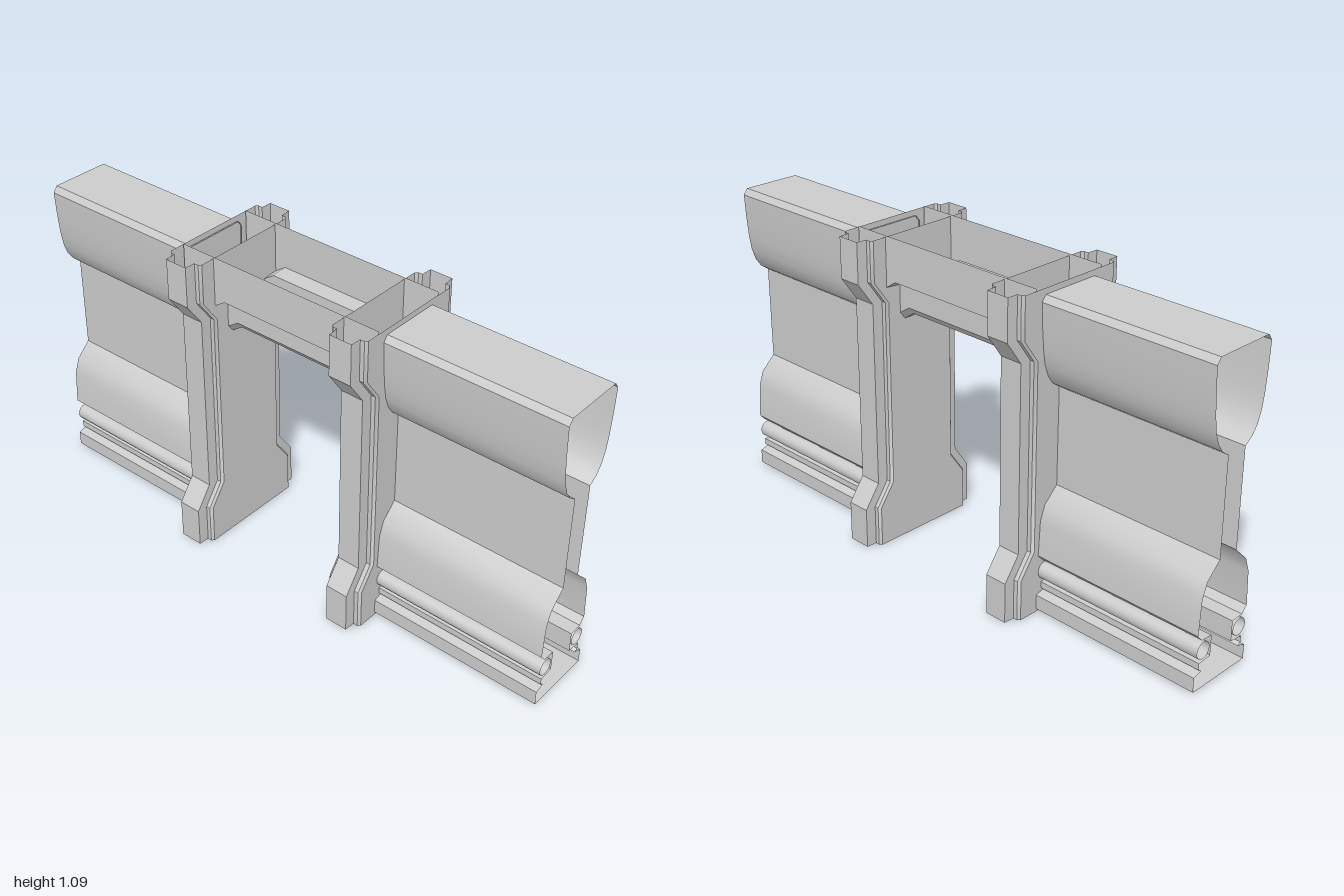
import * as THREE from 'three';
import { mergeVertices, toCreasedNormals } from 'three/addons/utils/BufferGeometryUtils.js';

const material = new THREE.MeshStandardMaterial({ color: 0xcccccc, side: THREE.DoubleSide });

// Skin a row of equal-length cross-sections, each a list of [x, y, z]
function loft(rings, closed) {
  const n = rings[0].length;
  const index = [];
  for (let r = 0; r < rings.length - 1; r++) {
    for (let i = 0; i < (closed ? n : n - 1); i++) {
      const j = (i + 1) % n;
      const a = r * n + i, b = r * n + j, c = b + n, d = a + n;
      index.push(a, b, c, a, c, d);
    }
  }
  const geometry = new THREE.BufferGeometry();
  geometry.setAttribute('position', new THREE.Float32BufferAttribute(rings.flat(2), 3));
  geometry.setIndex(index);
  return toCreasedNormals(mergeVertices(geometry), 0.5);
}

function addMesh(parent, geometry, name) {
  const mesh = new THREE.Mesh(geometry, material);
  mesh.name = name;
  parent.add(mesh);
  return mesh;
}

// Complete a front half-section [z, y], listed top to bottom, with its back half
const bothFaces = half => [...half, ...half.map(([z, y]) => [-z, y]).reverse()];

// Wall section: rounded coping, thin panel, flared skirt, pipe recess, plinth
const wallSection = bothFaces([
  [0.105, 1.06], [0.12, 1.04], [0.116, 0.96], [0.11, 0.89], [0.102, 0.84],
  [0.088, 0.8], [0.067, 0.77], [0.038, 0.75], [0.038, 0.42],
  [0.09, 0.37], [0.108, 0.32], [0.115, 0.2], [0.095, 0.178], [0.05, 0.175],
  [0.05, 0.105], [0.1, 0.1], [0.1, 0.078], [0.088, 0.07], [0.12, 0.06], [0.12, 0.01],
]);

function createWall(side) {
  const wall = new THREE.Group();
  wall.name = side > 0 ? 'leftWall' : 'rightWall';
  const ends = side > 0 ? [0.38, 1] : [-1, -0.38];
  addMesh(wall, loft(ends.map(x => wallSection.map(([z, y]) => [x, y, z])), true), 'wallShell');
  // Open pipes along both faces
  for (const face of [1, -1]) {
    const geometry = new THREE.CylinderGeometry(0.029, 0.029, 0.62, 16, 1, true).rotateZ(Math.PI / 2);
    addMesh(wall, geometry, face > 0 ? 'frontPipe' : 'backPipe')
      .position.set(side * 0.69, 0.139, face * 0.085);
  }
  return wall;
}

// Hollow door post with a raised rib, widening at the foot and the head
function createPost(side) {
  const levels = [[0, 0.057], [0.14, 0.057], [0.22, 0], [0.86, 0], [0.94, 0.057], [1.08, 0.057]];
  const rings = levels.map(([y, flare]) => {
    const body = 0.141 + flare, rib = 0.178 + flare;
    const front = [
      [-0.065, body - 0.008], [-0.057, body], [-0.042, body], [-0.04, rib],
      [0.04, rib], [0.042, body], [0.057, body], [0.065, body - 0.008],
    ];
    const back = front.map(([x, z]) => [x, -z]).reverse();
    return [...front, ...back].map(([x, z]) => [x + side * 0.32, y, z]);
  });
  const post = new THREE.Mesh(loft(rings, true), material);
  post.name = side > 0 ? 'leftPost' : 'rightPost';
  return post;
}

// Open-topped lintel trough whose lower steps drop at the haunches
function createLintel() {
  const section = bothFaces([[0.14, 1.085], [0.14, 0.94], [0.085, 0.935], [0.085, 0.84], [0.065, 0.815]]);
  const stations = [[-0.38, 0.03], [-0.26, 0.03], [-0.215, 0], [0.215, 0], [0.26, 0.03], [0.38, 0.03]];
  const rings = stations.map(([x, drop]) =>
    section.map(([z, y]) => [x, y > 1 ? y : y - drop, z]));
  const lintel = new THREE.Mesh(loft(rings, false), material);
  lintel.name = 'lintel';
  return lintel;
}

export function createModel() {
  const model = new THREE.Group();
  model.name = 'wallWithDoorway';
  for (const side of [1, -1]) model.add(createWall(side), createPost(side));
  model.add(createLintel());
  return model;
}
